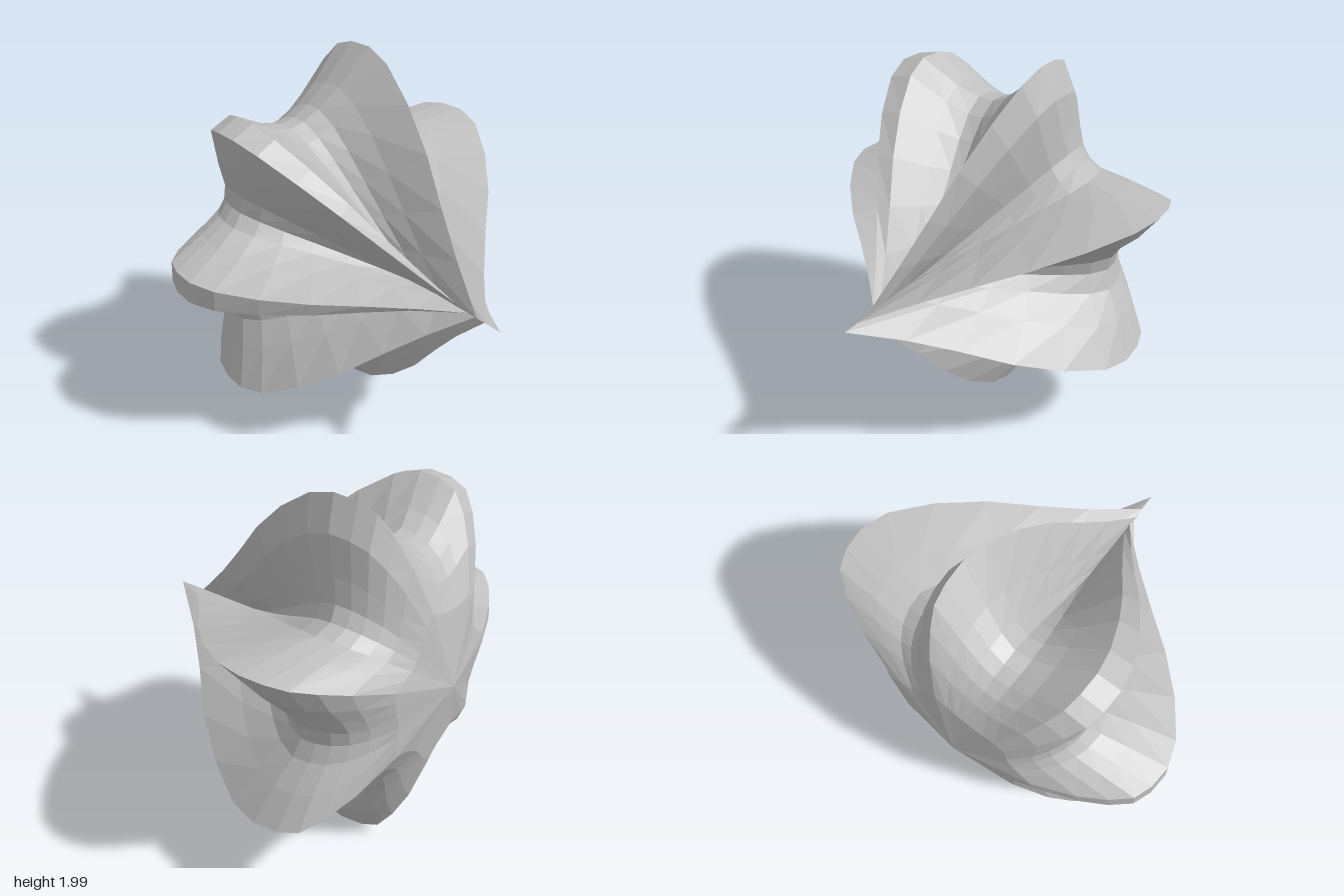
import * as THREE from 'three';

// Radius of the widest outline every 7.5 degrees, counter-clockwise from +x
const outline = [
  0.675, 0.74, 0.873, 1.033, 0.80, 0.645, 0.605, 0.626, 0.718, 0.882, 1.014, 0.80,
  0.695, 0.655, 0.668, 0.75, 0.935, 0.97, 0.775, 0.633, 0.591, 0.615, 0.72, 0.917,
  0.915, 0.752, 0.657, 0.632, 0.65, 0.76, 0.955, 0.89, 0.735, 0.66, 0.656, 0.70,
  0.80, 1.023, 0.868, 0.71, 0.63, 0.624, 0.665, 0.785, 1.013, 0.845, 0.715, 0.664,
];

// Meridians from the front axis to the back pole: [share of outline radius, z]
const ridge = [
  [0, 0.87], [0.21, 0.63], [0.41, 0.44], [0.63, 0.25], [0.82, 0.04], [0.96, -0.17], [1, -0.32],
  [0.99, -0.45], [0.95, -0.55], [0.84, -0.63], [0.68, -0.71], [0.43, -0.79], [0, -0.865],
];
const valley = [
  [0, 0.28], [0.2, 0.14], [0.4, 0.0], [0.6, -0.13], [0.78, -0.24], [0.92, -0.34], [1, -0.44],
  [0.99, -0.52], [0.95, -0.59], [0.88, -0.66], [0.77, -0.72], [0.58, -0.79], [0, -0.865],
];

export function createModel() {
  const group = new THREE.Group();
  group.name = 'sevenLobedStarShell';
  const grey = new THREE.MeshStandardMaterial({ color: 0xbfbfbf, flatShading: true, side: THREE.DoubleSide });
  grey.name = 'grey';

  const n = outline.length;
  const rows = ridge.length;
  const positions = [];
  const index = [];
  const peak = THREE.MathUtils.degToRad(-29.9);
  const lerp = THREE.MathUtils.lerp;

  for (let i = 0; i < rows; i++) {
    // Ridges are needle sharp at the front and softer towards the back
    const power = lerp(0.56, 1, Math.min(1, i / 6));
    for (let j = 0; j < n; j++) {
      const angle = (j / n) * Math.PI * 2;
      const w = 1 - Math.abs(Math.sin(3.5 * (angle - peak))) ** power;
      const r = outline[j] * lerp(valley[i][0], ridge[i][0], w);
      const z = lerp(valley[i][1], ridge[i][1], w);
      positions.push(-0.025 + r * Math.cos(angle), 1.02 + r * Math.sin(angle), z);
    }
  }
  for (let i = 0; i < rows - 1; i++) {
    for (let j = 0; j < n; j++) {
      const k = (j + 1) % n;
      const a = i * n + j, b = i * n + k, c = a + n, d = b + n;
      index.push(a, c, d);
      index.push(a, d, b);
    }
  }

  const geometry = new THREE.BufferGeometry();
  geometry.setAttribute('position', new THREE.Float32BufferAttribute(positions, 3));
  geometry.setIndex(index);
  geometry.computeVertexNormals();
  const shell = new THREE.Mesh(geometry, grey);
  shell.name = 'lobedShell';
  group.add(shell);
  return group;
}
